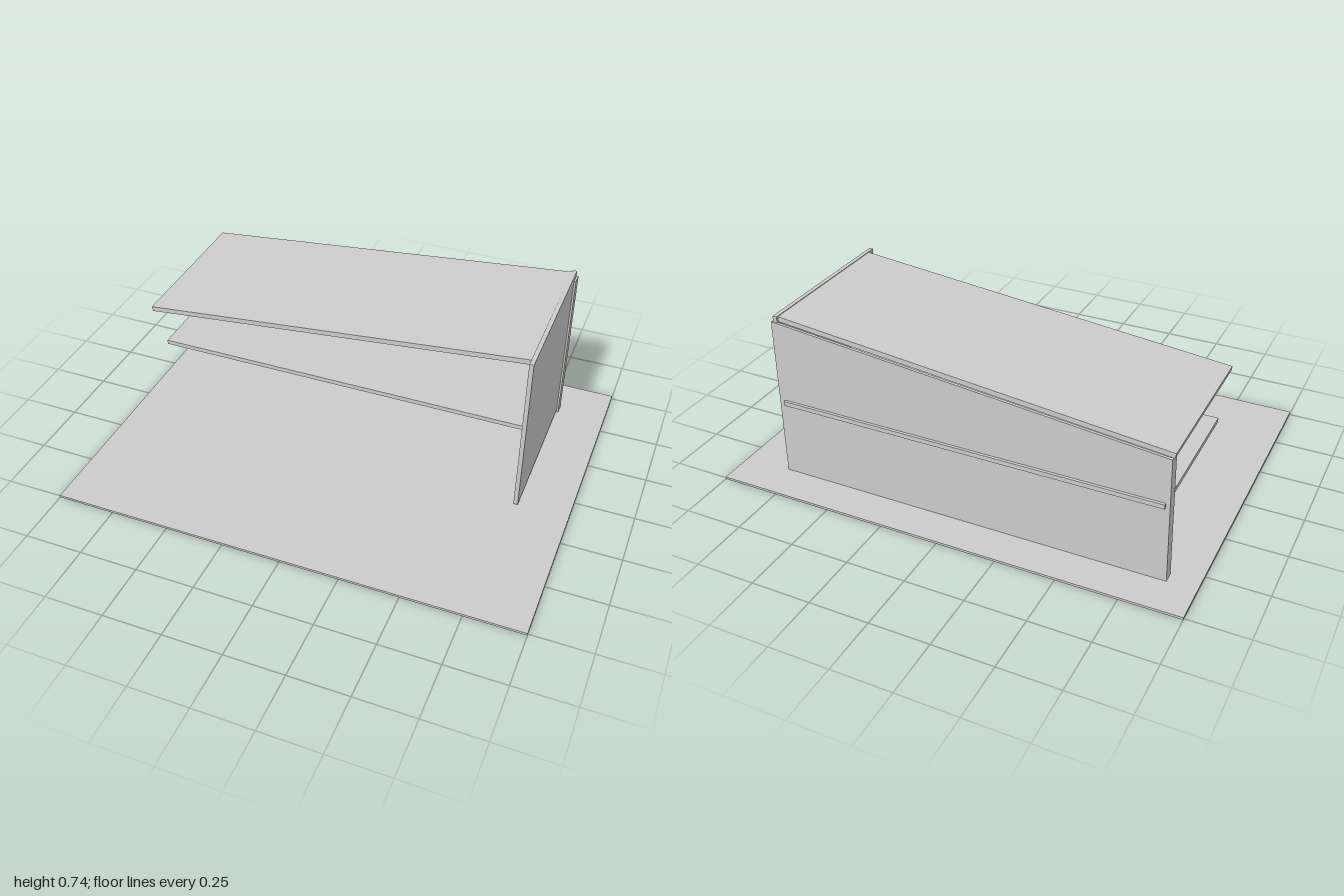
import * as THREE from 'three';

const material = new THREE.MeshStandardMaterial({ color: 0xcccccc, flatShading: true });

export function createModel() {
  const model = new THREE.Group();

  const add = (name, geometry) => {
    const mesh = new THREE.Mesh(geometry, material);
    mesh.name = name;
    model.add(mesh);
  };
  // Box given by its limits on each axis
  const box = (name, [x0, x1], [y0, y1], [z0, z1]) =>
    add(name, new THREE.BoxGeometry(x1 - x0, y1 - y0, z1 - z0)
      .translate((x0 + x1) / 2, (y0 + y1) / 2, (z0 + z1) / 2));
  // Outline in x and y, extruded from z0 to z1
  const slab = (name, points, z0, z1) => {
    const shape = new THREE.Shape(points.map(([x, y]) => new THREE.Vector2(x, y)));
    add(name, new THREE.ExtrudeGeometry(shape, { depth: z1 - z0, bevelEnabled: false })
      .translate(0, 0, z0));
  };

  // Ground plate
  box('basePlate', [-1, 1], [0, 0.01], [-0.757, 0.757]);

  // Tall side wall, raised slightly off the plate
  box('sideWall', [0.77, 0.788], [0.022, 0.736], [-0.593, 0.12]);

  // Sloping top board, butted against the side wall
  slab('topBoard', [[-0.873, 0.547], [0.77, 0.711], [0.77, 0.733], [-0.876, 0.568]], -0.584, 0.087);

  // Level shelf that passes through the back panel
  box('shelf', [-0.856, 0.77], [0.339, 0.358], [-0.609, 0.027]);

  // Back panel with a sloping top edge and a slightly leaning low end
  slab('backPanel', [[-0.88, 0.01], [0.796, 0.01], [0.796, 0.711], [-0.868, 0.547]], -0.597, -0.585);

  // Narrow flanges returning forward at both ends of the panel
  slab('lowFlange', [[-0.88, 0.01], [-0.871, 0.01], [-0.859, 0.547], [-0.868, 0.547]], -0.597, -0.55);
  box('tallFlange', [0.788, 0.796], [0.01, 0.711], [-0.597, -0.55]);

  return model;
}
